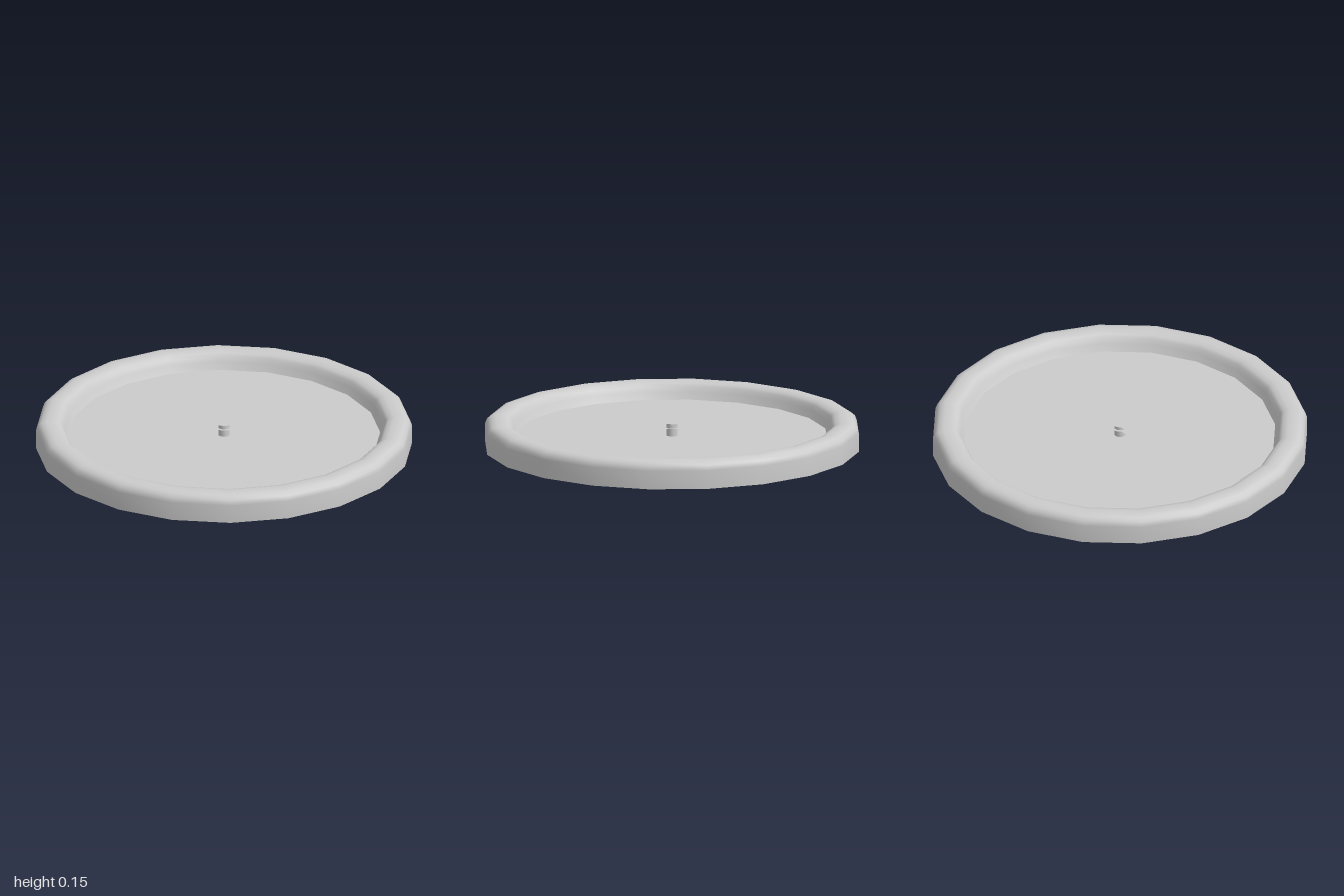
import * as THREE from 'three';

const SIDES = 20;
const DIAL_Y = 0.062;

export function createModel() {
  const clock = new THREE.Group();
  clock.name = 'wallClock';
  const material = new THREE.MeshStandardMaterial({ color: 0xcccccc });
  const thin = new THREE.MeshStandardMaterial({ color: 0xcccccc, side: THREE.DoubleSide });

  const add = (name, geometry, mat = material) => {
    const mesh = new THREE.Mesh(geometry, mat);
    mesh.name = name;
    clock.add(mesh);
    return mesh;
  };

  // Rounded rim, from the outer foot over the top and down to the dial
  const profile = [
    [1, 0], [1, 0.1], [0.99, 0.126], [0.972, 0.142], [0.945, 0.15], [0.905, 0.15],
    [0.877, 0.142], [0.86, 0.126], [0.85, 0.1], [0.83, DIAL_Y],
  ].map(([r, y]) => new THREE.Vector2(r, y));
  add('rim', new THREE.LatheGeometry(profile, SIDES));

  // Flat back and dial
  add('back', new THREE.CircleGeometry(1, SIDES).rotateX(Math.PI / 2));
  add('dial', new THREE.CircleGeometry(0.83, SIDES).rotateX(-Math.PI / 2).translate(0, DIAL_Y, 0));

  // Flat strip pointing along -x between two radii
  const strip = (inner, outer, width, y) =>
    new THREE.PlaneGeometry(outer - inner, width)
      .rotateX(-Math.PI / 2)
      .translate(-(inner + outer) / 2, y, 0);

  // Hour markers, larger on the quarters
  for (let i = 0; i < 12; i++) {
    const quarter = i % 3 === 0;
    const geometry = quarter
      ? strip(0.52, 0.745, 0.07, DIAL_Y + 0.002)
      : strip(0.605, 0.7, 0.035, DIAL_Y + 0.002);
    add(quarter ? 'quarterMarker' : 'hourMarker', geometry, thin).rotation.y = (i * Math.PI) / 6;
  }

  // Hands, each a flat strip with a round eye
  const hand = (name, length, y) => {
    add(name, strip(0.035, length, 0.05, y), thin);
    add(name + 'Eye', new THREE.CircleGeometry(0.045, 16).rotateX(-Math.PI / 2).translate(0, y, 0), thin);
  };
  hand('minuteHand', 0.545, 0.105);
  hand('hourHand', 0.335, 0.132);

  // Centre pin
  add('pin', new THREE.CylinderGeometry(0.03, 0.03, 0.07, 16).translate(0, DIAL_Y + 0.034, 0));

  return clock;
}
